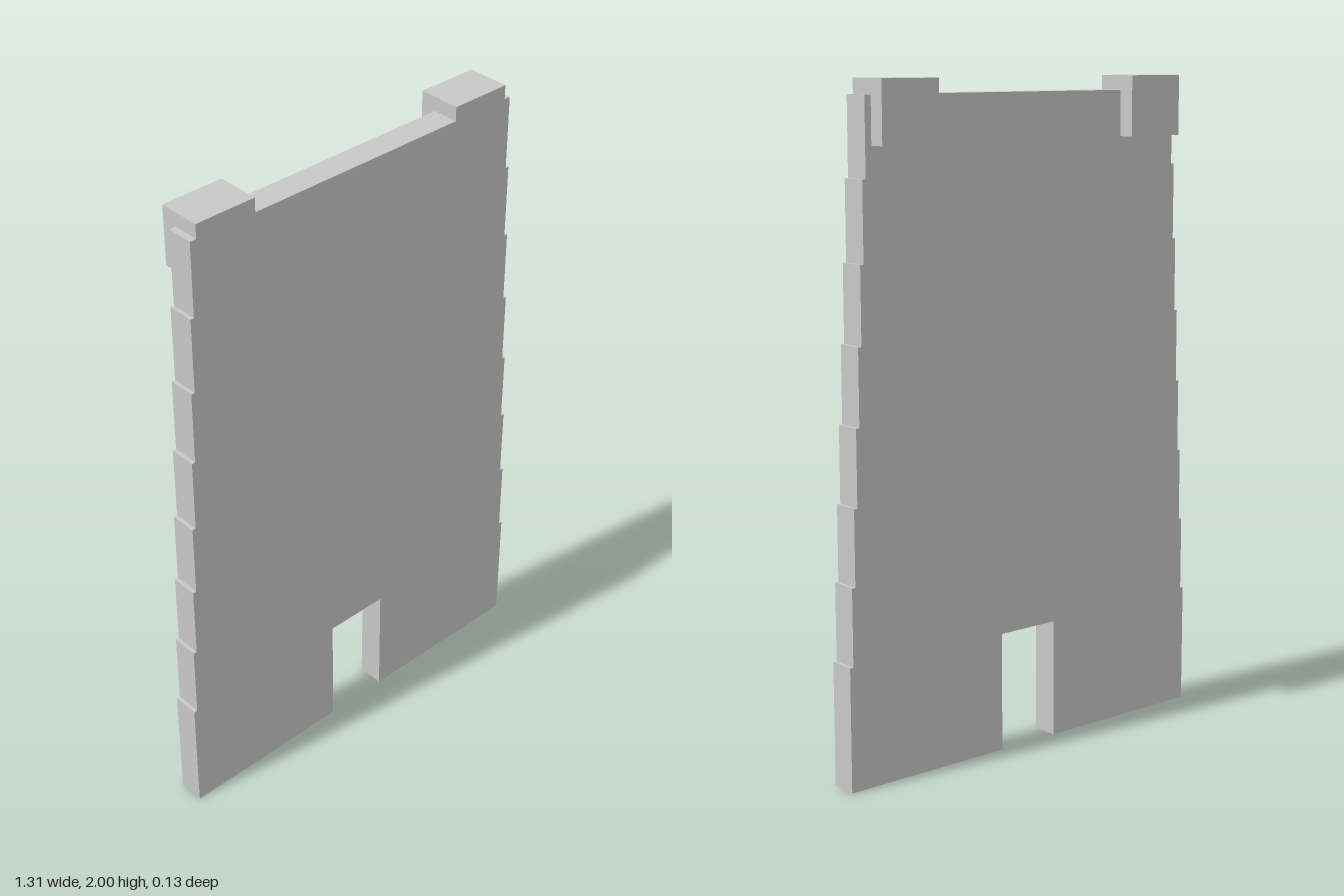
import * as THREE from 'three';

const BACK = -0.016, FRONT = 0.066;
// top heights of the stepped tiers, bottom to top
const TIERS = [0.37, 0.6, 0.825, 1.05, 1.275, 1.5, 1.73, 1.957];
const LUG = { inner: 0.362, outer: 0.556, bottom: 1.82, top: 2 };

export function createModel() {
  const grey = new THREE.MeshStandardMaterial({ color: 0xc8c8c8 });
  grey.name = 'lightGrey';
  const group = new THREE.Group();
  group.name = 'steppedPanel';

  // right half of the outline: notch, stepped edge, raised lug
  const half = [[0.102, 0.362], [0.102, 0]];
  let y = 0;
  TIERS.forEach((top, i) => {
    const x = 0.655 - i * 0.0112;
    half.push([x, y], [x, top]);
    y = top;
  });
  half.push([LUG.outer, y], [LUG.outer, LUG.top], [LUG.inner, LUG.top], [LUG.inner, y]);

  // mirror the half to close the outline
  const mirrored = half.map(([x, h]) => [-x, h]).reverse();
  const outline = new THREE.Shape([...half, ...mirrored].map(([x, h]) => new THREE.Vector2(x, h)));
  const panelGeometry = new THREE.ExtrudeGeometry(outline, { depth: FRONT - BACK, bevelEnabled: false });
  panelGeometry.translate(0, 0, BACK);
  const panel = new THREE.Mesh(panelGeometry, grey);
  panel.name = 'panel';
  group.add(panel);

  // blocks projecting behind the two top corners
  const depth = BACK + FRONT;
  const blockGeometry = new THREE.BoxGeometry(LUG.outer - LUG.inner, LUG.top - LUG.bottom, depth);
  for (const side of [1, -1]) {
    const block = new THREE.Mesh(blockGeometry, grey);
    block.name = side > 0 ? 'leftCornerBlock' : 'rightCornerBlock';
    block.position.set(side * (LUG.inner + LUG.outer) / 2, (LUG.top + LUG.bottom) / 2, BACK - depth / 2);
    group.add(block);
  }
  return group;
}
